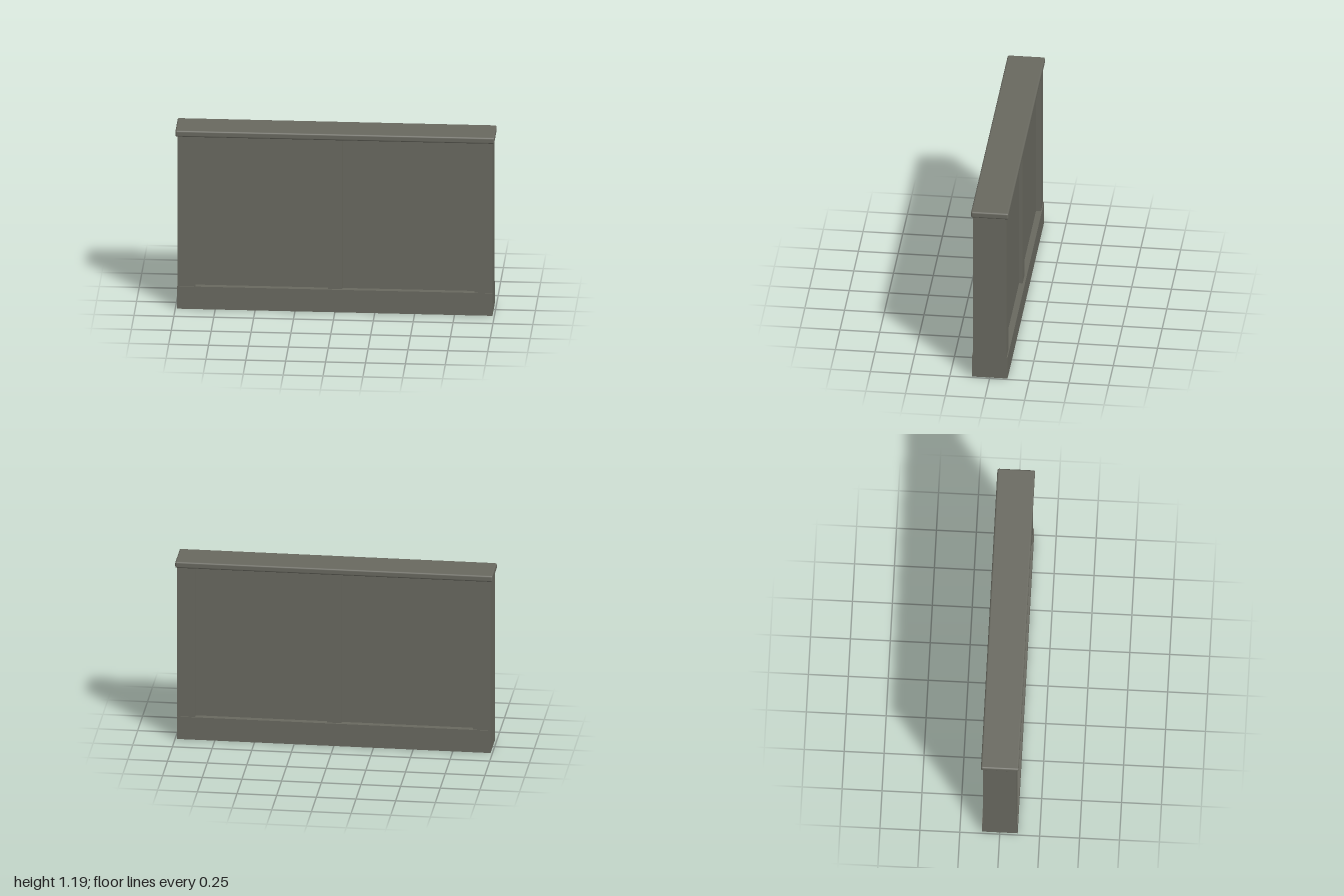
import * as THREE from 'three';
import { RoundedBoxGeometry } from 'three/addons/geometries/RoundedBoxGeometry.js';

export function createModel() {
  const model = new THREE.Group();
  model.name = 'panelledHalfWall';

  const stone = new THREE.MeshStandardMaterial({ color: 0x68685f });
  stone.name = 'grey stone';

  const add = (name, geometry, x, y) => {
    const mesh = new THREE.Mesh(geometry, stone);
    mesh.name = name;
    mesh.position.set(x, y, 0);
    model.add(mesh);
  };
  // Box given by its x centre, bottom, top, width and depth
  const block = (name, x, bottom, top, width, depth) =>
    add(name, new THREE.BoxGeometry(width, top - bottom, depth), x, (bottom + top) / 2);

  const baseTop = 0.15;
  const capBottom = 1.148;
  const capTop = 1.19;

  // Plinth along the floor
  block('base', 0, 0, baseTop, 1.976, 0.224);

  // Recessed panels and centre stile, visible on front and back
  for (const side of [-1, 1]) {
    const name = side > 0 ? 'left' : 'right';
    block(name + 'Panel', side * 0.46, baseTop, capBottom, 0.83, 0.15);
    block(name + 'EndPost', side * 0.9315, baseTop, capBottom, 0.113, 0.212);
  }
  block('centreStile', 0, baseTop, capBottom, 0.09, 0.195);

  // Overhanging cap with softened edges
  const capHeight = capTop - capBottom;
  add('cap', new RoundedBoxGeometry(2, capHeight, 0.236, 3, 0.011), 0, capBottom + capHeight / 2);

  return model;
}
